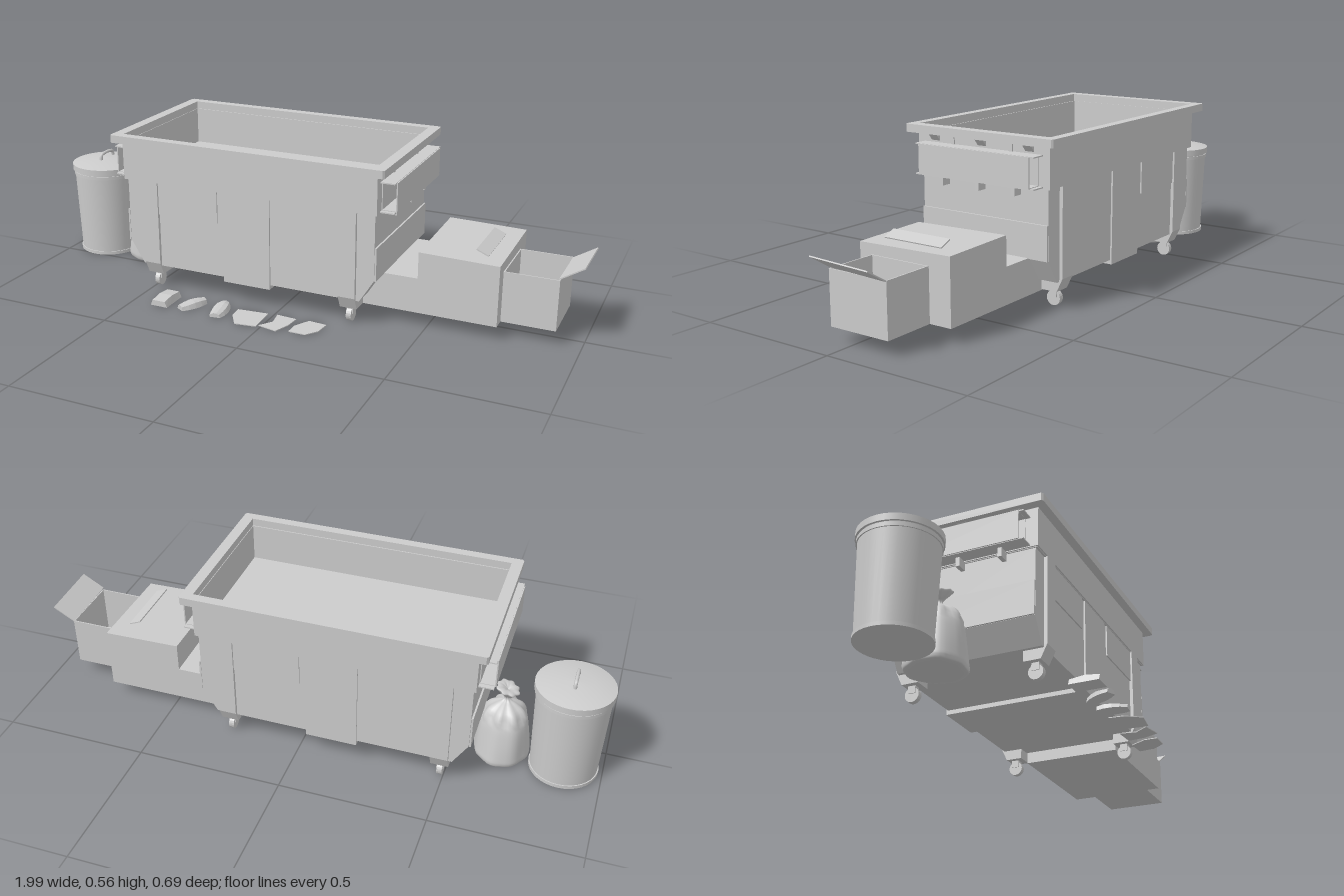
import * as THREE from 'three';

const mat = new THREE.MeshStandardMaterial({ color: 0xcccccc, side: THREE.DoubleSide });
const flat = new THREE.MeshStandardMaterial({ color: 0xcccccc, side: THREE.DoubleSide, flatShading: true });

function add(parent, name, geo, x = 0, y = 0, z = 0, m = flat) {
  const mesh = new THREE.Mesh(geo, m);
  mesh.name = name;
  mesh.position.set(x, y, z);
  parent.add(mesh);
  return mesh;
}
// Box given by its min and max on each axis
function box(parent, name, x0, x1, y0, y1, z0, z1) {
  return add(parent, name, new THREE.BoxGeometry(x1 - x0, y1 - y0, z1 - z0),
    (x0 + x1) / 2, (y0 + y1) / 2, (z0 + z1) / 2);
}
const shapeOf = pts => new THREE.Shape(pts.map(p => new THREE.Vector2(...p)));
const rect = (w, h, c = 0) => c
  ? [[-w + c, -h], [w - c, -h], [w, -h + c], [w, h - c], [w - c, h], [-w + c, h], [-w, h - c], [-w, -h + c]]
  : [[-w, -h], [w, -h], [w, h], [-w, h]];
// Rectangular tube of half sizes (w, h) with a hole (iw, ih)
function ring(w, h, iw, ih, depth, c) {
  const s = shapeOf(rect(w, h, c));
  s.holes.push(shapeOf(rect(iw, ih)));
  return new THREE.ExtrudeGeometry(s, { depth, bevelEnabled: false });
}
const upright = geo => geo.rotateX(-Math.PI / 2);
// Profile in x/y, extruded along z and centred
function slab(pts, depth) {
  return new THREE.ExtrudeGeometry(shapeOf(pts), { depth, bevelEnabled: false }).translate(0, 0, -depth / 2);
}

function makeDumpster() {
  const g = new THREE.Group();
  g.name = 'dumpster';
  g.position.set(-0.118, 0, -0.058);
  // Hollow top with an overhanging rim
  add(g, 'rim', upright(ring(0.503, 0.289, 0.465, 0.256, 0.027, 0.006)), 0, 0.535, 0);
  add(g, 'upperWalls', upright(ring(0.471, 0.2595, 0.463, 0.252, 0.135)), 0, 0.4, 0);
  box(g, 'innerFloor', -0.466, 0.466, 0.398, 0.404, -0.255, 0.255);
  // Lower body with sloped ends
  add(g, 'lowerBody', slab([[-0.462, 0.4], [-0.462, 0.17], [-0.412, 0.09],
    [0.412, 0.09], [0.462, 0.17], [0.462, 0.4]], 0.496));
  box(g, 'centreStrap', -0.088, 0.088, 0.075, 0.4, -0.254, 0.254);
  for (const s of [-1, 1]) {
    box(g, 'endPlate', s * 0.466 - 0.003, s * 0.466 + 0.003, 0.17, 0.285, -0.248, 0.248);
    for (const t of [-1, 1]) {
      // Raised panels on the long sides
      box(g, 'sidePanel', s * 0.225 - 0.115, s * 0.225 + 0.115, 0.285, 0.4, t * 0.25 - 0.003, t * 0.25 + 0.003);
      // Corner post, its foot tapering inward
      const post = add(g, 'cornerPost', slab([[0.225, 0.4], [0.2595, 0.4], [0.2595, 0.1],
        [0.238, 0.055], [0.18, 0.055], [0.18, 0.1], [0.225, 0.1]], 0.06), s * 0.37, 0, 0);
      post.rotation.y = -t * Math.PI / 2;
      box(g, 'casterFork', s * 0.37 - 0.012, s * 0.37 + 0.012, 0.03, 0.058, t * 0.212 - 0.013, t * 0.212 + 0.013);
      add(g, 'casterWheel', new THREE.CylinderGeometry(0.025, 0.025, 0.018, 20).rotateZ(Math.PI / 2),
        s * 0.37, 0.026, t * 0.212);
      box(g, 'upperRib', s * 0.473 - 0.003, s * 0.473 + 0.003, 0.505, 0.535, t * 0.115 - 0.006, t * 0.115 + 0.006);
    }
    // Lifting sleeve at each end with tabs above and below
    add(g, 'liftSleeve', ring(0.027, 0.05, 0.023, 0.046, 0.435), s * 0.497, 0.455, -0.2175);
    for (const y of [0.405, 0.504])
      box(g, 'sleevePlate', s * 0.495 - 0.025, s * 0.495 + 0.025, y - 0.002, y + 0.002, -0.233, 0.233);
    for (const z of [-0.14, 0, 0.144])
      box(g, 'lowerTab', s * 0.482 - 0.018, s * 0.482 + 0.018, 0.372, 0.405, z - 0.007, z + 0.007);
    for (const z of [-0.184, 0, 0.187]) {
      const gusset = slab([[0.471, 0.512], [0.49, 0.535], [0.471, 0.535]], 0.033);
      const m = add(g, 'rimGusset', gusset, 0, 0, z);
      m.rotation.y = s < 0 ? Math.PI : 0;
    }
  }
  return g;
}

function makeCan() {
  const g = new THREE.Group();
  g.name = 'trashCan';
  g.position.set(-0.87, 0, -0.105);
  const lathe = (pts, n) => new THREE.LatheGeometry(pts.map(p => new THREE.Vector2(...p)), n);
  add(g, 'canBody', new THREE.CylinderGeometry(0.123, 0.112, 0.32, 36), 0, 0.165, 0, mat);
  add(g, 'baseBand', new THREE.CylinderGeometry(0.116, 0.116, 0.012, 36), 0, 0.008, 0, mat);
  add(g, 'topBand', new THREE.CylinderGeometry(0.126, 0.126, 0.012, 36), 0, 0.312, 0, mat);
  add(g, 'lidEdge', new THREE.CylinderGeometry(0.13, 0.13, 0.022, 36), 0, 0.334, 0, mat);
  add(g, 'lidDome', lathe([[0.13, 0.345], [0.1, 0.352], [0.055, 0.359], [0, 0.362]], 36), 0, 0, 0, mat);
  const path = new THREE.CatmullRomCurve3([[-0.04, 0.355], [-0.036, 0.376], [-0.02, 0.381], [0.02, 0.381],
    [0.036, 0.376], [0.04, 0.355]].map(([z, y]) => new THREE.Vector3(0, y, z)));
  add(g, 'lidHandle', new THREE.TubeGeometry(path, 20, 0.006, 8), 0, 0, 0, mat);
  return g;
}

// Tied bag: lathe with folds growing toward the neck and a flared tuft
function makeBag() {
  const pts = [[0, 0.004], [0.08, 0.003], [0.094, 0.014], [0.093, 0.04], [0.086, 0.1], [0.077, 0.15], [0.06, 0.19],
    [0.035, 0.21], [0.014, 0.222], [0.01, 0.235], [0.024, 0.25], [0.038, 0.268], [0.02, 0.272], [0, 0.262]];
  const curve = new THREE.SplineCurve(pts.map(p => new THREE.Vector2(...p)));
  const geo = new THREE.LatheGeometry(curve.getPoints(48).map(p => p.setX(Math.max(0, p.x))), 40);
  const p = geo.attributes.position;
  for (let i = 0; i < p.count; i++) {
    const x = p.getX(i), y = p.getY(i), z = p.getZ(i), a = Math.atan2(z, x);
    const k = 1 + 0.03 * Math.sin(a * 3 + y * 15) + (y > 0.16 ? 0.09 : 0.02) * Math.sin(a * 8);
    p.setXYZ(i, x * k, y + (y > 0.24 ? 0.25 * x : 0), z * k * 1.04);
  }
  geo.computeVertexNormals();
  const m = new THREE.Group();
  m.name = 'tiedBag';
  add(m, 'bag', geo, -0.657, 0, -0.092, mat);
  return m;
}

function makeBoxes() {
  const g = new THREE.Group();
  g.name = 'cardboardBoxes';
  box(g, 'lowBox', 0.27, 0.47, 0.05, 0.172, -0.235, 0.112);
  // Tall box, its top slightly skewed
  const tall = box(g, 'tallBox', 0.467, 0.737, 0.05, 0.265, -0.235, 0.112);
  const p = tall.geometry.attributes.position;
  for (let i = 0; i < p.count; i++)
    if (p.getY(i) > 0) p.setY(i, p.getY(i) - 0.02 * p.getZ(i) - 0.02 * p.getX(i));
  const strip = add(g, 'topFlap', new THREE.BoxGeometry(0.045, 0.004, 0.22), 0.664, 0.276, -0.05);
  strip.rotation.z = -0.4;
  // Open box with one raised flap
  add(g, 'openBoxWalls', upright(ring(0.09, 0.11, 0.086, 0.106, 0.175)), 0.827, 0.05, -0.046);
  box(g, 'openBoxFloor', 0.738, 0.916, 0.05, 0.055, -0.155, 0.063);
  const flap = add(g, 'openBoxFlap', new THREE.BoxGeometry(0.09, 0.004, 0.22), 0.953, 0.25, -0.046);
  flap.rotation.set(-0.04, 0, 0.55);
  return g;
}

// Litter: three crumpled lumps and three flat scraps
function makeLitter() {
  const g = new THREE.Group();
  g.name = 'litter';
  const lumps = [[-0.393, 0.064, 0.0], [-0.288, 0.05, -0.5], [-0.18, 0.06, 0.12]];
  lumps.forEach(([x, w, turn], n) => {
    const geo = new THREE.BoxGeometry(w, 0.026, 0.1, 3, 1, 4);
    const p = geo.attributes.position;
    for (let i = 0; i < p.count; i++) {
      const px = p.getX(i), pz = p.getZ(i), top = p.getY(i) > 0;
      const ends = n ? 1 - 0.35 * Math.pow(Math.abs(pz) / 0.05, 2) : 1;
      p.setX(i, px * ends * (top ? 0.75 : 1));
      if (top) p.setY(i, 0.013 - (n ? 0.25 * Math.abs(px) : 0) - 0.12 * Math.abs(pz + 0.01 * n));
    }
    add(g, 'crumpledScrap', geo, x, 0.013, 0.277).rotation.y = turn;
  });
  const scraps = [
    [[-0.13, 0.24], [-0.02, 0.23], [-0.015, 0.335], [-0.09, 0.345], [-0.125, 0.29]],
    [[0.012, 0.225], [0.085, 0.23], [0.08, 0.285], [0.06, 0.34], [-0.01, 0.325], [0.022, 0.28]],
    [[0.13, 0.225], [0.195, 0.23], [0.19, 0.285], [0.16, 0.325], [0.1, 0.325], [0.1, 0.28]],
  ];
  for (const s of scraps) {
    const geo = new THREE.ExtrudeGeometry(shapeOf(s.map(([x, z]) => [x, -z])), { depth: 0.003, bevelEnabled: false });
    add(g, 'flatScrap', upright(geo));
  }
  return g;
}

export function createModel() {
  const model = new THREE.Group();
  model.name = 'dumpsterScene';
  model.add(makeDumpster(), makeCan(), makeBag(), makeBoxes(), makeLitter());
  return model;
}
